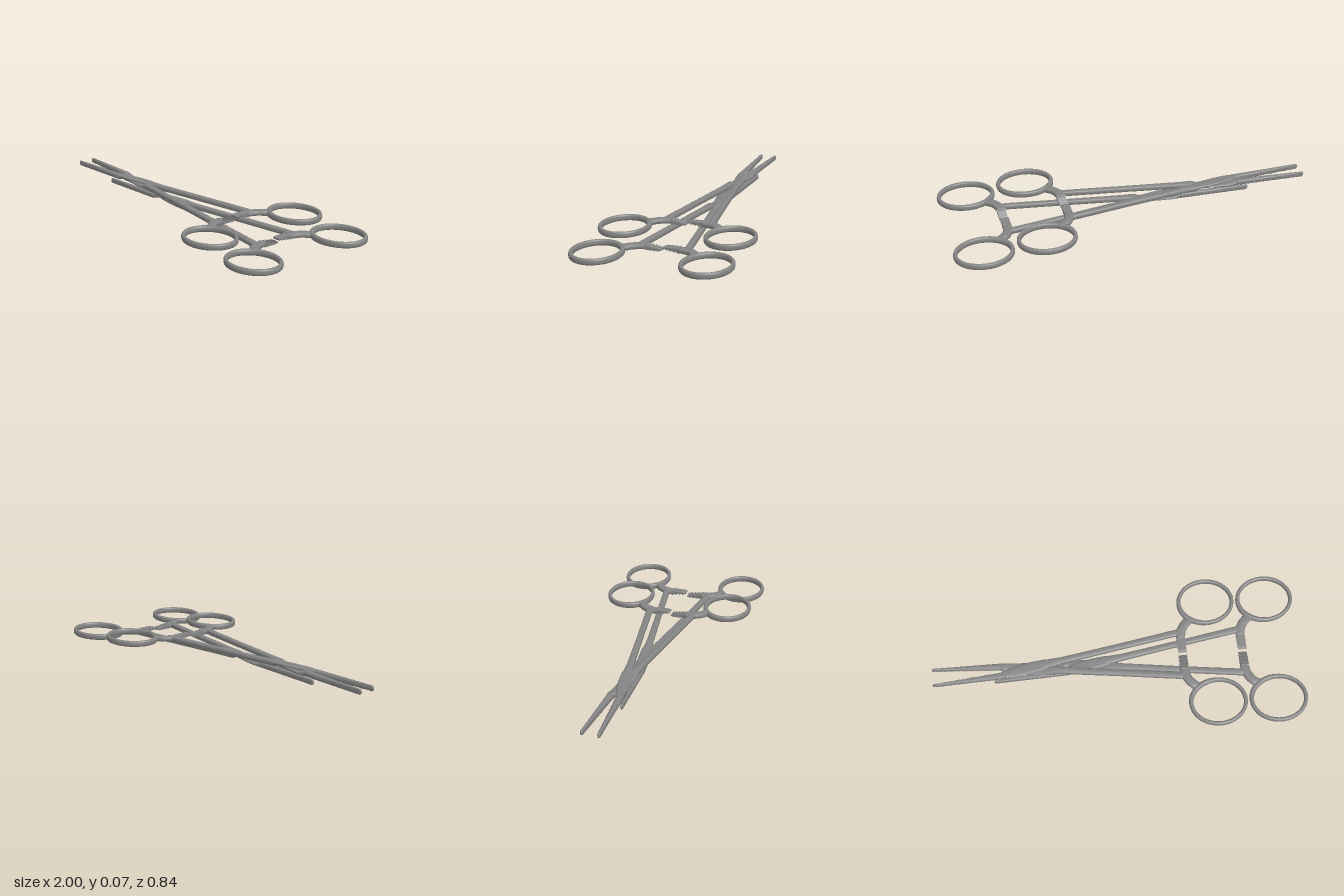
import * as THREE from 'three';

const steel = new THREE.MeshStandardMaterial({ name: 'steel', color: 0x848484 });

// Loft of rounded sections. Station: [x, z, halfWidth, y, halfHeight];
// side(i) is the horizontal width direction [x, z] of station i.
function loft(stations, side, closed = false, n = 16, squareness = 0.65) {
  const pos = [], idx = [], count = stations.length;
  const soft = (v) => Math.sign(v) * Math.abs(v) ** squareness;
  stations.forEach(([x, z, hw, y, hh], i) => {
    const [sx, sz] = side(i);
    for (let j = 0; j < n; j++) {
      const a = (j / n) * Math.PI * 2;
      const w = soft(Math.cos(a)) * hw;
      pos.push(x + sx * w, y + soft(Math.sin(a)) * hh, z + sz * w);
    }
  });
  for (let i = 0; i < (closed ? count : count - 1); i++) {
    const p = i * n, q = ((i + 1) % count) * n;
    for (let j = 0; j < n; j++) {
      const k = (j + 1) % n;
      idx.push(p + j, p + k, q + k, p + j, q + k, q + j);
    }
  }
  if (!closed) {
    const e = (count - 1) * n;
    for (let j = 1; j < n - 1; j++) idx.push(0, j + 1, j, e, e + j, e + j + 1);
  }
  const g = new THREE.BufferGeometry();
  g.setAttribute('position', new THREE.Float32BufferAttribute(pos, 3));
  g.setIndex(idx);
  g.computeVertexNormals();
  return g;
}

function add(parent, name, geometry) {
  const m = new THREE.Mesh(geometry, steel);
  m.name = name;
  parent.add(m);
  return m;
}

// One half of a clamp: handle on +z, jaw on -z
function makeArm(name) {
  const arm = new THREE.Group();
  arm.name = name;
  const alongZ = () => [0, 1], alongX = () => [1, 0];

  // Shank narrowing into the half-height plate of the box lock
  add(arm, 'shank', loft([
    [0.37, 0.127, 0.019, 0, 0.013], [0.30, 0.118, 0.018, 0, 0.0145],
    [0.0, 0.073, 0.017, 0, 0.0145], [-0.30, 0.028, 0.019, 0, 0.0145],
    [-0.37, 0.018, 0.024, 0, 0.0145], [-0.40, 0.013, 0.029, -0.007, 0.0075],
    [-0.48, 0, 0.033, -0.007, 0.0075], [-0.56, -0.012, 0.03, -0.007, 0.0075],
    [-0.61, -0.021, 0.022, 0, 0.0145], [-0.63, -0.0235, 0.019, 0, 0.0145],
  ], alongZ));

  // Jaw with a serrated inner edge
  const jaw = [], steps = 56;
  for (let i = 0; i <= steps; i++) {
    const t = i / steps;
    const outer = -0.043 - 0.007 * t;
    const inner = -0.004 - 0.031 * t - (i % 2 ? 0.005 : 0);
    jaw.push([-0.61 - 0.38 * t, (outer + inner) / 2, (inner - outer) / 2, 0, 0.0145]);
  }
  jaw.push([-0.997, -0.043, 0.005, 0, 0.010], [-1, -0.043, 0.002, 0, 0.005]);
  add(arm, 'jaw', loft(jaw, alongZ));

  // Finger ring, thicker near the stem
  const ring = [], segs = 56;
  for (let i = 0; i < segs; i++) {
    const a = (i / segs) * Math.PI * 2;
    const thick = Math.max(0, Math.cos(a - Math.PI * 1.25)) ** 4;
    ring.push([0.51 + 0.146 * Math.cos(a), 0.287 + 0.122 * Math.sin(a),
      0.0105 + 0.004 * thick, 0, 0.0165]);
  }
  add(arm, 'fingerRing', loft(ring, (i) => {
    const a = (i / segs) * Math.PI * 2;
    return [Math.cos(a), Math.sin(a)];
  }, true, 16, 0.8));

  // Stem flaring from the ratchet bar into the ring
  add(arm, 'stem', loft([
    [0.352, 0.075, 0.023, 0, 0.011], [0.352, 0.10, 0.025, 0, 0.0135],
    [0.357, 0.13, 0.028, 0, 0.0145], [0.372, 0.155, 0.029, 0, 0.015],
    [0.391, 0.175, 0.036, 0, 0.015], [0.402, 0.20, 0.021, 0, 0.013],
  ], alongX));

  // Ratchet bar: sawtooth profile drawn in (z, y), extruded across x
  const s = new THREE.Shape();
  s.moveTo(0.09, -0.012);
  s.lineTo(0.09, 0.012);
  for (let i = 0; i < 4; i++) {
    const z = 0.086 - i * 0.02, top = 0.013 - i * 0.003;
    s.lineTo(z, top);
    s.lineTo(z - 0.017, top - 0.012);
  }
  s.lineTo(0.008, 0.001);
  s.lineTo(0.004, -0.009);
  s.lineTo(0.02, -0.012);
  const bar = new THREE.ExtrudeGeometry(s, { depth: 0.046, bevelEnabled: false });
  bar.rotateY(-Math.PI / 2);
  bar.translate(0.375, 0, 0);
  add(arm, 'ratchetTeeth', bar);
  return arm;
}

// Two interlocked arms, the second turned half a revolution about x
function makeClamp(name, x, y) {
  const clamp = new THREE.Group();
  clamp.name = name;
  const back = makeArm('backArm');
  back.rotation.x = Math.PI;
  clamp.add(makeArm('frontArm'), back);
  const pin = add(clamp, 'pivotPin', new THREE.CylinderGeometry(0.011, 0.011, 0.03, 20));
  pin.position.x = -0.48;
  clamp.position.set(x, y, 0);
  clamp.rotation.set(0.008, 0.009, 0);
  return clamp;
}

export function createModel() {
  const model = new THREE.Group();
  model.name = 'clampPair';
  model.add(makeClamp('upperClamp', 0, 0.05), makeClamp('lowerClamp', 0.328, 0.02));
  return model;
}
